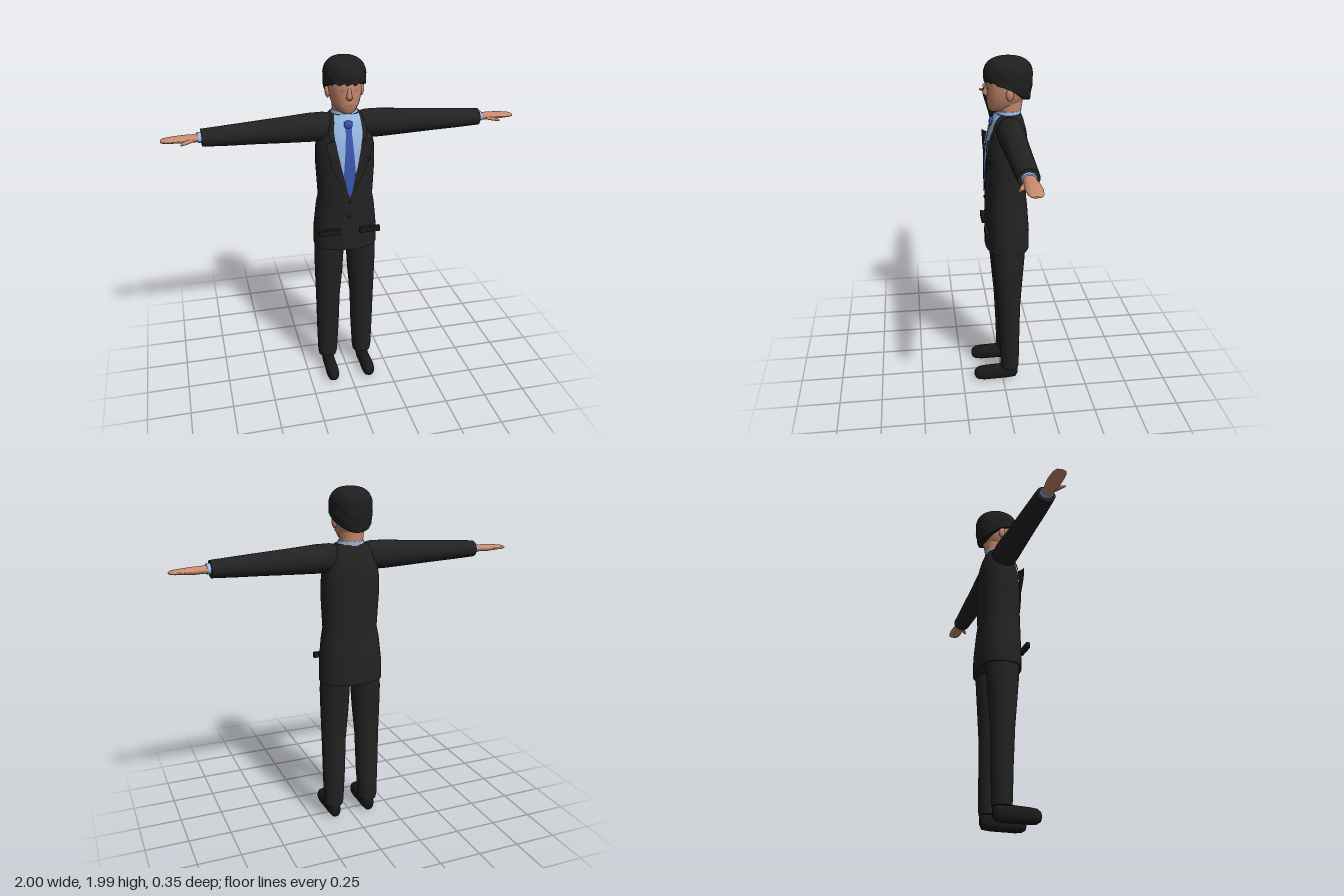
import * as THREE from 'three';
import { toCreasedNormals } from 'three/addons/utils/BufferGeometryUtils.js';

const material = (name, color, side = THREE.FrontSide) => {
  const m = new THREE.MeshStandardMaterial({ color, side });
  m.name = name;
  return m;
};

// Closed skin over superellipse sections [t, a, b, ra, rb], running along the given axis.
// axis y: a = x, b = z; axis x: a = z, b = y; axis z: a = y, b = x.
function loft(sections, axis = 'y', power = 2, sides = 28) {
  const pos = [], idx = [];
  const put = (a, t, b) => pos.push(...(axis === 'y' ? [a, t, b] : axis === 'x' ? [t, b, a] : [b, a, t]));
  const bend = (v) => Math.sign(v) * Math.abs(v) ** (2 / power);
  for (const [t, a, b, ra, rb] of sections) {
    for (let i = 0; i < sides; i++) {
      const q = (i / sides) * Math.PI * 2;
      put(a + ra * bend(Math.cos(q)), t, b + rb * bend(Math.sin(q)));
    }
  }
  const last = sections.length - 1;
  for (const k of [0, last]) put(sections[k][1], sections[k][0], sections[k][2]);
  const base = sections.length * sides;
  for (let i = 0; i < sides; i++) {
    const j = (i + 1) % sides;
    for (let k = 0; k < last; k++) {
      const p = k * sides, q = p + sides;
      idx.push(p + i, q + i, p + j, p + j, q + i, q + j);
    }
    idx.push(base, i, j, base + 1, last * sides + j, last * sides + i);
  }
  return finish(pos, idx);
}

function finish(pos, idx, crease = 0.9) {
  const g = new THREE.BufferGeometry();
  g.setAttribute('position', new THREE.Float32BufferAttribute(pos, 3));
  g.setIndex(idx);
  return toCreasedNormals(g, crease);
}

// Mirror a geometry across x = 0, turning its triangles the right way round again.
function mirror(geometry) {
  const g = geometry.index ? geometry.toNonIndexed() : geometry.clone();
  g.scale(-1, 1, 1);
  for (const at of Object.values(g.attributes)) {
    const n = at.itemSize;
    for (let i = 0; i < at.count; i += 3) {
      for (let c = 0; c < n; c++) {
        const s = at.array[(i + 1) * n + c];
        at.array[(i + 1) * n + c] = at.array[(i + 2) * n + c];
        at.array[(i + 2) * n + c] = s;
      }
    }
  }
  return g;
}

// Depth of the front of a y loft at (x, y).
function frontZ(sections, power, x, y) {
  let k = 0;
  while (k < sections.length - 2 && y > sections[k + 1][0]) k++;
  const f = THREE.MathUtils.clamp((y - sections[k][0]) / (sections[k + 1][0] - sections[k][0]), 0, 1);
  const [, , cz, rx, rz] = sections[k].map((v, i) => THREE.MathUtils.lerp(v, sections[k + 1][i], f));
  return cz + rz * (1 - Math.min(1, Math.abs(x) / rx) ** power) ** (1 / power);
}

// Thin cloth panel following a body; rows are [y, x0, x1, lift at x0, lift at x1].
function panel(sections, power, rows, cols = 8, steps = 4) {
  const pos = [], idx = [];
  const count = (rows.length - 1) * steps;
  for (let r = 0; r <= count; r++) {
    const k = Math.min(Math.floor(r / steps), rows.length - 2);
    const [y, x0, x1, l0, l1] = rows[k].map((v, i) => THREE.MathUtils.lerp(v, rows[k + 1][i], r / steps - k));
    for (let c = 0; c <= cols; c++) {
      const u = c / cols, x = x0 + (x1 - x0) * u;
      pos.push(x, y, frontZ(sections, power, x, y) + l0 + (l1 - l0) * u);
      if (r < count && c < cols) {
        const p = r * (cols + 1) + c, q = p + cols + 1;
        idx.push(p, p + 1, q, q, p + 1, q + 1);
      }
    }
  }
  return finish(pos, idx);
}

// Bowl-cut hair: a sphere reshaped to a fringe that is high in front and low at the nape.
function hairGeometry() {
  const g = new THREE.SphereGeometry(1, 48, 24, 0, Math.PI * 2, 0, Math.PI * 0.9);
  const { position, uv } = g.attributes;
  for (let i = 0; i < position.count; i++) {
    const q = uv.getX(i) * Math.PI * 2, p = 1 - uv.getY(i);
    const dx = -Math.cos(q), dz = Math.sin(q);
    const edge = dz > 0 ? 1.83 + 0.035 * Math.min(1, dz * 1.4) + 0.008 * Math.sin(q * 16) * dz : 1.83 + 0.075 * dz;
    const out = Math.min(1, p / 0.88);
    const y = 1.992 - (1.992 - edge) * out ** 1.5;
    const cap = Math.min(1, (1.992 - y) / 0.1);
    let r = (1 - (1 - cap) ** 2.5) ** (1 / 2.5);
    r *= 1 - 0.12 * Math.max(0, (1.84 - y) / 0.09);
    r *= 1 + 0.022 * Math.sin(q * 8 + y * 35) * Math.sin(y * 60) * out;
    if (p > 0.88) r *= 1 - (p - 0.88) * 2.2;
    position.setXYZ(i, dx * 0.116 * r, y, -0.04 + dz * 0.134 * r);
  }
  return toCreasedNormals(g, 1.1);
}

export function createModel() {
  const model = new THREE.Group();
  model.name = 'suitedMan';
  const suit = material('suit black', 0x222222, THREE.DoubleSide);
  const trim = material('trim black', 0x191919);
  const hairMat = material('hair black', 0x1f1f1f, THREE.DoubleSide);
  const skin = material('skin', 0xc98b6f);
  const shade = material('lips and eyelids', 0xb07660, THREE.DoubleSide);
  const shirt = material('shirt blue', 0x98b8e2, THREE.DoubleSide);
  const tieMat = material('tie blue', 0x3a56b0, THREE.DoubleSide);

  const add = (name, geometry, mat) => {
    const mesh = new THREE.Mesh(geometry, mat);
    mesh.name = name;
    model.add(mesh);
    return mesh;
  };
  const pair = (name, geometry, mat) => {
    add(name + 'Left', geometry, mat);
    add(name + 'Right', mirror(geometry), mat);
  };

  // Jacket body
  const torso = [
    [0.89, 0, -0.035, 0.185, 0.128], [1.0, 0, -0.035, 0.184, 0.127], [1.14, 0, -0.03, 0.169, 0.121],
    [1.2, 0, -0.027, 0.157, 0.117], [1.4, 0, -0.03, 0.168, 0.119], [1.5, 0, -0.033, 0.165, 0.115],
    [1.58, 0, -0.038, 0.15, 0.104], [1.65, 0, -0.04, 0.122, 0.084], [1.685, 0, -0.042, 0.085, 0.068],
  ];
  add('jacket', loft(torso, 'y', 2.4, 40), suit);

  // Shirt front, tie and lapels
  const open = [[1.23, 0.002], [1.4, 0.046], [1.55, 0.076], [1.6, 0.08], [1.685, 0.072]];
  add('shirtFront', panel(torso, 2.4, open.map(([y, w]) => [y, -w, w, 0.003, 0.003]), 14), shirt);
  const tie = [[1.225, 0.001], [1.25, 0.012], [1.36, 0.034], [1.59, 0.017], [1.612, 0.018], [1.655, 0.027]];
  add('tie', panel(torso, 2.4, tie.map(([y, w]) => [y, -w, w, 0.007, 0.007])), tieMat);
  add('tieKnot', new THREE.SphereGeometry(1, 16, 10).scale(0.024, 0.026, 0.014).translate(0, 1.635, 0.052), tieMat);
  pair('lapel', panel(torso, 2.4, [
    [1.22, 0, 0.008, 0.006, 0.006], [1.4, 0.046, 0.098, 0.006, 0.01],
    [1.5, 0.066, 0.125, 0.006, 0.04], [1.555, 0.077, 0.13, 0.007, 0.06],
  ]), suit);
  pair('jacketCollar', panel(torso, 2.4, [
    [1.56, 0.077, 0.102, 0.007, 0.012], [1.6, 0.08, 0.11, 0.007, 0.01], [1.685, 0.07, 0.083, 0.008, 0.006],
  ]), suit);
  add('shirtCollar', loft([
    [1.64, 0, -0.042, 0.086, 0.072], [1.675, 0, -0.042, 0.08, 0.071], [1.702, 0, -0.044, 0.071, 0.07],
  ]), shirt);

  // Pocket flaps, breast pocket and buttons
  pair('pocketFlap', new THREE.BoxGeometry(0.12, 0.032, 0.022).translate(0.118, 1.012, 0.093), trim);
  add('breastPocket', panel(torso, 2.4, [[1.425, 0.075, 0.128, 0.01, 0.006], [1.445, 0.075, 0.128, 0.01, 0.006]]), trim);
  for (const y of [1.1, 1.19]) {
    add('button', new THREE.CylinderGeometry(0.009, 0.009, 0.008, 16).rotateX(Math.PI / 2).translate(0, y, 0.093), trim);
  }

  // Sleeves, cuffs and hands
  pair('sleeve', loft([
    [0.05, -0.037, 1.607, 0.055, 0.066], [0.12, -0.036, 1.609, 0.073, 0.08], [0.2, -0.036, 1.608, 0.075, 0.08],
    [0.34, -0.035, 1.605, 0.068, 0.072], [0.5, -0.034, 1.603, 0.063, 0.063],
    [0.65, -0.033, 1.6, 0.059, 0.055], [0.785, -0.033, 1.598, 0.054, 0.047],
  ], 'x'), suit);
  pair('cuff', loft([[0.77, -0.033, 1.6, 0.038, 0.03], [0.805, -0.033, 1.6, 0.037, 0.028]], 'x'), shirt);
  pair('hand', loft([
    [0.79, -0.033, 1.6, 0.031, 0.023], [0.83, -0.034, 1.598, 0.032, 0.02], [0.87, -0.035, 1.597, 0.038, 0.02],
    [0.92, -0.035, 1.597, 0.041, 0.016], [0.97, -0.035, 1.596, 0.037, 0.012],
    [0.992, -0.035, 1.595, 0.029, 0.009], [1.0, -0.035, 1.594, 0.016, 0.004],
  ], 'x'), skin);
  pair('thumb', loft([
    [0.83, -0.012, 1.594, 0.012, 0.01], [0.86, 0.002, 1.59, 0.014, 0.011],
    [0.885, 0.016, 1.587, 0.011, 0.009], [0.897, 0.028, 1.585, 0.005, 0.005],
  ], 'x', 2, 12), skin);

  // Trousers and shoes
  pair('trouserLeg', loft([
    [0.085, 0.111, -0.043, 0.055, 0.054], [0.11, 0.111, -0.043, 0.06, 0.057], [0.3, 0.108, -0.041, 0.068, 0.061],
    [0.52, 0.106, -0.037, 0.073, 0.068], [0.7, 0.1, -0.035, 0.083, 0.083],
    [0.83, 0.097, -0.034, 0.087, 0.094], [0.94, 0.092, -0.035, 0.085, 0.1],
  ]), suit);
  pair('shoe', loft([
    [-0.092, 0.055, 0.111, 0.025, 0.018], [-0.078, 0.052, 0.111, 0.046, 0.031], [-0.03, 0.051, 0.111, 0.05, 0.036],
    [0.03, 0.048, 0.112, 0.047, 0.035], [0.11, 0.046, 0.113, 0.045, 0.038],
    [0.15, 0.045, 0.113, 0.041, 0.034], [0.17, 0.045, 0.113, 0.028, 0.022], [0.177, 0.045, 0.113, 0.01, 0.009],
  ], 'z', 2.4), trim);

  // Head, face and hair
  const head = [
    [1.698, 0, 0.022, 0.03, 0.035], [1.71, 0, 0.004, 0.05, 0.064], [1.75, 0, -0.022, 0.077, 0.097],
    [1.8, 0, -0.031, 0.09, 0.108], [1.86, 0, -0.034, 0.097, 0.114], [1.92, 0, -0.035, 0.095, 0.11], [1.95, 0, -0.035, 0.07, 0.08],
  ];
  add('neck', loft([[1.62, 0, -0.045, 0.067, 0.066], [1.7, 0, -0.047, 0.066, 0.066], [1.78, 0, -0.055, 0.072, 0.07]]), skin);
  add('head', loft(head, 'y', 2.1), skin);
  add('nose', loft([
    [1.778, 0, 0.07, 0.013, 0.01], [1.79, 0, 0.075, 0.018, 0.022], [1.805, 0, 0.075, 0.015, 0.024],
    [1.835, 0, 0.071, 0.01, 0.015], [1.86, 0, 0.07, 0.008, 0.008],
  ], 'y', 2, 14), skin);
  pair('ear', new THREE.SphereGeometry(1, 16, 12).scale(0.012, 0.034, 0.021).rotateZ(-0.12).translate(0.097, 1.803, -0.038), skin);
  const face = (rows) => panel(head, 2.1, rows.map((r) => [...r, 0.002, 0.002]));
  add('mouth', face([[1.742, -0.012, 0.012], [1.748, -0.026, 0.026], [1.756, -0.012, 0.012]]), shade);
  pair('eyelid', face([[1.822, 0.032, 0.042], [1.829, 0.02, 0.054], [1.836, 0.03, 0.044]]), shade);
  add('hair', hairGeometry(), hairMat);

  return model;
}
